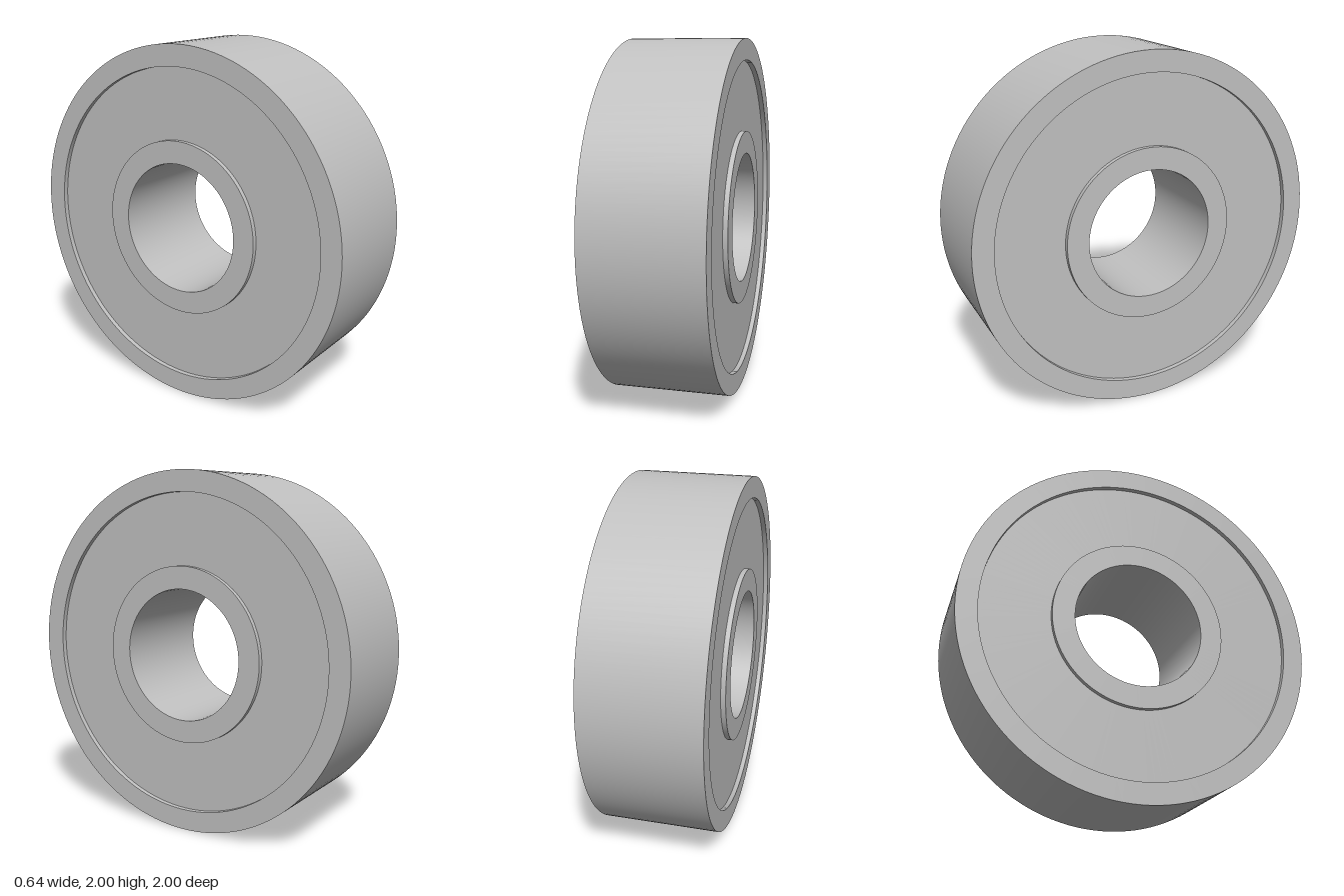
import * as THREE from 'three';
import { toCreasedNormals } from 'three/addons/utils/BufferGeometryUtils.js';

const SEGMENTS = 128;
const HALF_WIDTH = 0.318;
const RECESS = 0.027; // how far the shields sit below the ring faces
const SHIELD_THICKNESS = 0.04;

// Rectangular-section ring around the x axis, from x0 to x1
function ringGeometry(inner, outer, x0, x1) {
  const profile = [[outer, x0], [outer, x1], [inner, x1], [inner, x0], [outer, x0]]
    .map(([r, x]) => new THREE.Vector2(r, x));
  const geometry = toCreasedNormals(new THREE.LatheGeometry(profile, SEGMENTS), Math.PI / 6);
  return geometry.rotateZ(-Math.PI / 2);
}

export function createModel() {
  const steel = new THREE.MeshStandardMaterial({ color: 0xc0c0c0 });
  steel.name = 'steel grey';

  const bearing = new THREE.Group();
  bearing.name = 'ballBearing';

  function addRing(name, inner, outer, x0, x1) {
    const mesh = new THREE.Mesh(ringGeometry(inner, outer, x0, x1), steel);
    mesh.name = name;
    mesh.position.y = 1;
    bearing.add(mesh);
  }

  // Races
  addRing('outerRace', 0.883, 1, -HALF_WIDTH, HALF_WIDTH);
  addRing('innerRace', 0.365, 0.49, -HALF_WIDTH, HALF_WIDTH);

  // Recessed shields closing the gap on both sides
  const face = HALF_WIDTH - RECESS;
  addRing('leftShield', 0.49, 0.883, face - SHIELD_THICKNESS, face);
  addRing('rightShield', 0.49, 0.883, -face, SHIELD_THICKNESS - face);

  return bearing;
}
